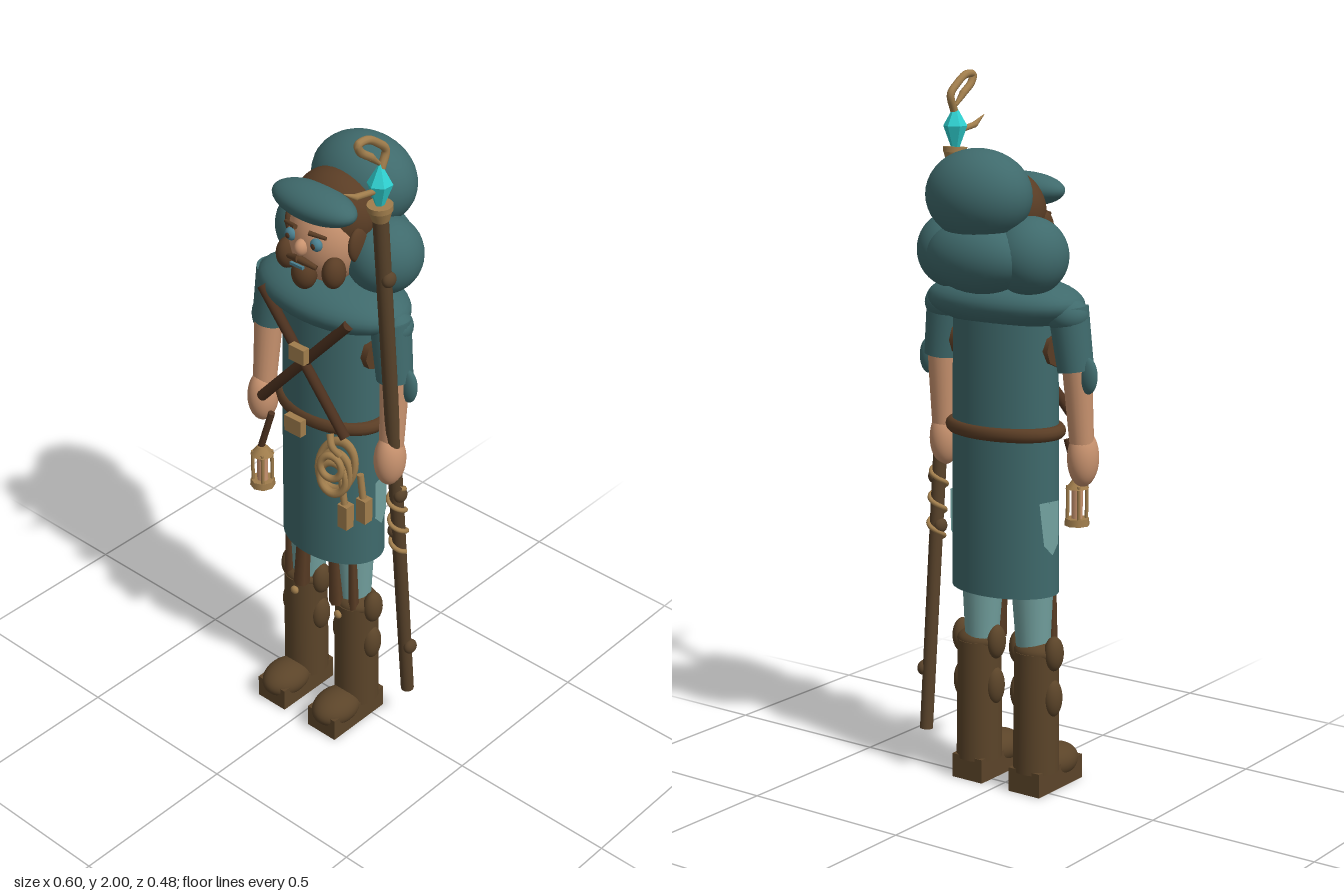
import * as THREE from 'three';

const mat = (name, color) => {
  const m = new THREE.MeshStandardMaterial({ color });
  m.name = name;
  return m;
};

export function createModel() {
  const root = new THREE.Group();
  root.name = 'traveller';
  const teal = mat('teal cloth', 0x3f6a6c);
  const paleTeal = mat('pale trousers', 0x719f9d);
  const skin = mat('skin', 0xc9936f);
  const hair = mat('hair and leather', 0x5a3d25);
  const strap = mat('dark strap', 0x4b301e);
  const boot = mat('boot leather', 0x5b4429);
  const gold = mat('brass and rope', 0xa07d4c);
  const wood = mat('staff wood', 0x58422a);
  const cyan = mat('crystal', 0x2fd0d0);
  const eyeBlue = mat('eye', 0x4a7f8f);

  const add = (name, geo, material, x = 0, y = 0, z = 0, parent = root) => {
    const m = new THREE.Mesh(geo, material);
    m.name = name;
    m.position.set(x, y, z);
    parent.add(m);
    return m;
  };
  const ball = (name, material, [x, y, z], [rx, ry, rz], parent = root) => {
    const m = add(name, new THREE.SphereGeometry(1, 32, 20), material, x, y, z, parent);
    m.scale.set(rx, ry, rz);
    return m;
  };
  const box = (name, material, [x, y, z], size, parent = root) =>
    add(name, new THREE.BoxGeometry(...size), material, x, y, z, parent);
  // Tapered rod between two points
  const rod = (name, material, a, b, r0, r1 = r0, sides = 16, parent = root) => {
    const A = new THREE.Vector3(...a), B = new THREE.Vector3(...b);
    const d = B.clone().sub(A);
    const m = add(name, new THREE.CylinderGeometry(r1, r0, d.length(), sides), material, 0, 0, 0, parent);
    m.position.copy(A).add(B).multiplyScalar(0.5);
    m.quaternion.setFromUnitVectors(new THREE.Vector3(0, 1, 0), d.normalize());
    return m;
  };
  const tube = (name, material, pts, r, segs = 40, parent = root) =>
    add(name, new THREE.TubeGeometry(new THREE.CatmullRomCurve3(pts.map(p => new THREE.Vector3(...p))), segs, r, 10),
      material, 0, 0, 0, parent);

  // Tunic, belt and shoulder cape
  const tunic = add('tunic', new THREE.CylinderGeometry(0.158, 0.163, 0.38, 40), teal, 0, 1.22);
  tunic.scale.z = 0.7;
  const skirt = add('skirt', new THREE.CylinderGeometry(0.163, 0.165, 0.46, 40), teal, 0, 0.81);
  skirt.scale.z = 0.7;
  const belt = add('belt', new THREE.TorusGeometry(0.165, 0.02, 12, 48), hair, 0, 1.04);
  belt.rotation.x = Math.PI / 2;
  belt.scale.y = 0.68;
  box('beltBuckle', gold, [0, 1.04, 0.157], [0.06, 0.05, 0.022]);
  box('chestBuckle', gold, [0.017, 1.275, 0.157], [0.054, 0.046, 0.022]);
  ball('cape', teal, [0, 1.395, 0], [0.245, 0.075, 0.147]);
  for (const s of [-1, 1])
    rod('crossStrap', strap, [-0.155 * s, 1.4, 0.115], [0.155 * s, 1.05, 0.125], 0.015);

  // Bundled hood behind the head
  ball('hood', teal, [0, 1.69, -0.12], [0.155, 0.125, 0.122]);
  ball('hoodBack', teal, [0, 1.525, -0.12], [0.16, 0.1, 0.104]);
  for (const s of [-1, 1]) ball('hoodSide', teal, [0.125 * s, 1.53, -0.06], [0.105, 0.107, 0.108]);

  // Head, hair and cap
  const head = new THREE.Group();
  head.name = 'head';
  root.add(head);
  ball('face', skin, [0, 1.58, 0.02], [0.107, 0.135, 0.105], head);
  ball('hair', hair, [0, 1.64, -0.01], [0.126, 0.115, 0.1], head);
  ball('capFront', teal, [0, 1.692, 0.075], [0.138, 0.048, 0.067], head);
  ball('nose', skin, [0, 1.58, 0.125], [0.018, 0.024, 0.022], head);
  ball('beard', hair, [0, 1.5, 0.115], [0.036, 0.046, 0.034], head);
  box('mouth', eyeBlue, [0, 1.533, 0.143], [0.045, 0.008, 0.008], head);
  for (const s of [-1, 1]) {
    ball('eye', eyeBlue, [0.045 * s, 1.6, 0.117], [0.018, 0.018, 0.014], head);
    ball('pupil', strap, [0.045 * s, 1.6, 0.13], [0.007, 0.008, 0.004], head);
    rod('eyebrow', hair, [0.024 * s, 1.63, 0.122], [0.072 * s, 1.625, 0.108], 0.007, 0.005, 10, head);
    rod('moustache', hair, [0, 1.55, 0.135], [0.05 * s, 1.535, 0.122], 0.011, 0.007, 10, head);
    ball('sideBeard', hair, [0.082 * s, 1.52, 0.09], [0.03, 0.045, 0.035], head);
    ball('sideburn', hair, [0.112 * s, 1.59, 0.03], [0.016, 0.05, 0.035], head);
  }

  // Slit panel that hugs the skirt wall
  const slit = s => {
    const shape = new THREE.Shape([[0.015, 0.85], [-0.052, 0.85], [-0.04, 0.73], [-0.012, 0.7], [0.015, 0.73]]
      .map(p => new THREE.Vector2(...p)));
    const g = new THREE.ShapeGeometry(shape);
    const p = g.attributes.position;
    for (let i = 0; i < p.count; i++) {
      const z = p.getX(i);
      p.setXYZ(i, s * (0.169 * Math.sqrt(1 - (z / 0.117) ** 2) + 0.002), p.getY(i), z);
    }
    g.computeVertexNormals();
    return g;
  };
  paleTeal.side = THREE.DoubleSide;

  for (const s of [-1, 1]) {
    add('skirtSlit', slit(s), paleTeal);
    const patch = add('sidePatch', new THREE.CylinderGeometry(0.047, 0.047, 0.02, 8), hair, 0.157 * s, 1.27, 0.01);
    patch.rotation.z = Math.PI / 2;

    // Arm
    const arm = new THREE.Group();
    arm.name = s > 0 ? 'leftArm' : 'rightArm';
    root.add(arm);
    ball('shoulder', teal, [0.205 * s, 1.37, 0], [0.06, 0.05, 0.058], arm);
    rod('sleeve', teal, [0.228 * s, 1.22, 0.01], [0.205 * s, 1.39, 0.005], 0.05, 0.056, 24, arm);
    ball('cuffKnot', teal, [0.272 * s, 1.21, 0.005], [0.028, 0.05, 0.018], arm);
    rod('forearm', skin, [0.237 * s, 1.0, 0.03], [0.23 * s, 1.24, 0.012], 0.033, 0.041, 20, arm);
    ball('hand', skin, [0.237 * s, 0.975, 0.035], [0.042, 0.08, 0.048], arm);

    // Leg and boot
    const leg = new THREE.Group();
    leg.name = s > 0 ? 'leftLeg' : 'rightLeg';
    root.add(leg);
    const x = 0.1 * s;
    rod('trouserLeg', paleTeal, [0.09 * s, 0.38, 0.01], [0.085 * s, 0.64, 0.01], 0.046, 0.062, 24, leg);
    rod('bootShaft', boot, [x, 0.06, 0.01], [x, 0.41, 0.012], 0.066, 0.063, 24, leg);
    ball('bootTop', boot, [x, 0.41, 0.012], [0.066, 0.035, 0.06], leg);
    for (const t of [-1, 1]) {
      ball('bootKnob', boot, [x + 0.06 * t, 0.41, 0.01], [0.026, 0.05, 0.032], leg);
      ball('bootKnob', boot, [x + 0.056 * t, 0.28, 0.01], [0.026, 0.055, 0.032], leg);
    }
    rod('kneeStrap', hair, [0.07 * s, 0.41, 0.062], [0.06 * s, 0.59, 0.06], 0.024, 0.02, 6, leg);
    rod('kneeStrap', hair, [0.125 * s, 0.4, 0.052], [0.122 * s, 0.58, 0.055], 0.016, 0.012, 6, leg);
    ball('bootStud', gold, [0.085 * s, 0.38, 0.076], [0.013, 0.013, 0.01], leg);
    box('sole', boot, [x, 0.035, 0.058], [0.105, 0.07, 0.215], leg);
    ball('toe', boot, [x, 0.062, 0.1], [0.062, 0.05, 0.082], leg);
  }

  // Lantern hanging from the belt
  const lantern = new THREE.Group();
  lantern.name = 'lantern';
  lantern.position.set(-0.153, 0, 0.13);
  root.add(lantern);
  add('lanternBase', new THREE.CylinderGeometry(0.034, 0.036, 0.02, 8), gold, 0, 0.765, 0, lantern);
  add('lanternRoof', new THREE.CylinderGeometry(0.014, 0.034, 0.025, 8), gold, 0, 0.873, 0, lantern);
  add('lanternCore', new THREE.CylinderGeometry(0.016, 0.016, 0.1, 12), skin, 0, 0.82, 0, lantern);
  for (let i = 0; i < 4; i++) {
    const a = Math.PI / 4 + i * Math.PI / 2;
    add('lanternPost', new THREE.CylinderGeometry(0.005, 0.005, 0.1, 8), gold,
      0.027 * Math.cos(a), 0.82, 0.027 * Math.sin(a), lantern);
  }
  rod('lanternHanger', strap, [-0.008, 0.87, 0], [0.025, 1.0, -0.015], 0.01, 0.01, 10, lantern);

  // Coiled rope and its hanging ends
  const rope = new THREE.Group();
  rope.name = 'rope';
  root.add(rope);
  [[0.054, 0.935], [0.047, 0.915], [0.04, 0.9], [0.032, 0.94]].forEach(([r, y], i) => {
    const loop = add('ropeLoop', new THREE.TorusGeometry(r, 0.01, 10, 32), gold, 0.112, y, 0.112 + i * 0.008, rope);
    loop.scale.y = 1.45 - i * 0.12;
    loop.rotation.set(-0.1, 0.25, (i - 1.5) * 0.15);
  });
  tube('ropeHanger', gold, [[0.1, 1.04, 0.125], [0.115, 1.01, 0.135], [0.13, 0.98, 0.12]], 0.01, 12, rope);
  [[0.148, 0.785, 0.115], [0.172, 0.79, 0.065]].forEach(([x, y, z]) => {
    rod('ropeEnd', gold, [x, y, z], [x - 0.015, 0.9, z], 0.01, 0.01, 10, rope);
    box('ropeTassel', gold, [x, y, z], [0.034, 0.075, 0.03], rope);
  });

  // Leaning staff
  const staff = new THREE.Group();
  staff.name = 'staff';
  root.add(staff);
  const X = 0.25, zAt = y => -0.045 + (y - 0.125) * 0.09;
  rod('staffShaft', wood, [X, 0.125, zAt(0.125)], [X, 1.78, zAt(1.78)], 0.019, 0.021, 16, staff);
  rod('staffCollar', gold, [X, 1.745, 0.1], [X, 1.775, 0.103], 0.023, 0.032, 20, staff);
  rod('staffRim', gold, [X, 1.775, 0.103], [X, 1.79, 0.104], 0.034, 0.034, 20, staff);
  [[0.3, 0.02], [1.57, 0.017], [0.72, -0.015], [0.86, 0.015]].forEach(([y, dx]) =>
    ball('staffKnot', wood, [X + dx, y, zAt(y)], [0.017, 0.022, 0.022], staff));
  const vine = [];
  for (let i = 0; i <= 24; i++) {
    const y = 0.66 + i * 0.0095, a = i * 0.8;
    vine.push([X + 0.023 * Math.cos(a), y, zAt(y) + 0.023 * Math.sin(a)]);
  }
  tube('staffBinding', gold, vine, 0.007, 90, staff);

  // Crystal and hooked head
  cyan.flatShading = true;
  const gem = add('crystal', new THREE.CylinderGeometry(0.003, 0.034, 0.055, 6), cyan, X, 1.876, 0.105, staff);
  gem.name = 'crystalTop';
  add('crystalBottom', new THREE.CylinderGeometry(0.034, 0.012, 0.06, 6), cyan, X, 1.8185, 0.105, staff);
  tube('staffHook', gold, [[X, 1.89, 0.1], [X, 1.935, 0.085], [X, 1.965, 0.115], [X, 1.988, 0.155],
    [X, 1.986, 0.188], [X, 1.965, 0.18], [X, 1.935, 0.14]], 0.011, 48, staff);
  rod('hookTip', gold, [X, 1.937, 0.143], [X, 1.905, 0.108], 0.011, 0.005, 10, staff);
  rod('thornBase', gold, [X, 1.835, 0.13], [X, 1.846, 0.195], 0.008, 0.009, 10, staff);
  rod('thornTip', gold, [X, 1.846, 0.195], [X, 1.872, 0.24], 0.009, 0.001, 10, staff);

  return root;
}
